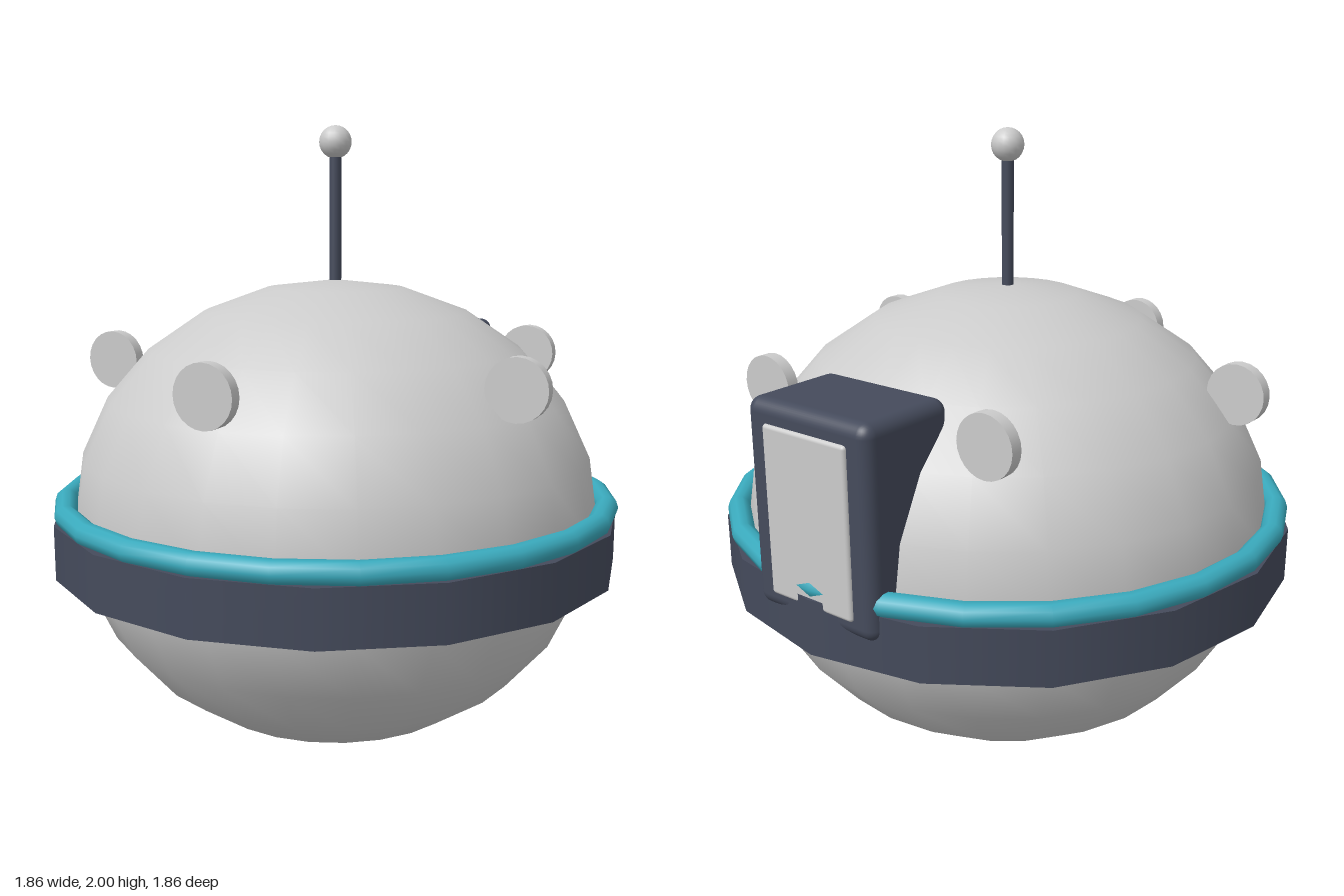
import * as THREE from 'three';
import { RoundedBoxGeometry } from 'three/addons/geometries/RoundedBoxGeometry.js';

const grey = new THREE.MeshStandardMaterial({ color: 0xcccccc });
const slate = new THREE.MeshStandardMaterial({ color: 0x454b5c });
const teal = new THREE.MeshStandardMaterial({ color: 0x3aaabd });

export function createModel() {
  const model = new THREE.Group();
  model.name = 'dronePod';

  const add = (name, geometry, material, x, y, z) => {
    const mesh = new THREE.Mesh(geometry, material);
    mesh.name = name;
    mesh.position.set(x, y, z);
    model.add(mesh);
    return mesh;
  };

  // Slightly flattened spherical hull
  const hull = new THREE.SphereGeometry(0.86, 24, 12).scale(1, 0.757 / 0.86, 1);
  add('hull', hull, grey, 0, 0.757, 0);

  // Equator band with a glowing ring resting on it
  add('equatorBand', new THREE.CylinderGeometry(0.93, 0.93, 0.175, 16), slate, 0, 0.678, 0);
  const ring = new THREE.TorusGeometry(0.89, 0.037, 10, 24).rotateX(Math.PI / 2);
  add('equatorRing', ring, teal, 0, 0.793, 0);

  // Antenna
  add('antennaRod', new THREE.CylinderGeometry(0.019, 0.019, 0.46, 12), slate, 0, 1.71, 0);
  add('antennaTip', new THREE.SphereGeometry(0.052, 16, 12), grey, 0, 1.948, 0);

  // Round sensor discs spaced around the upper hull, all facing front
  const disc = new THREE.CylinderGeometry(0.096, 0.096, 0.04, 24).rotateX(Math.PI / 2);
  const spots = [[-0.03, 0.757], [0.71, 0.265], [0.47, -0.595], [-0.42, -0.633], [-0.73, 0.2]];
  spots.forEach(([x, z], i) => add(`sensorDisc${i + 1}`, disc, grey, x, 1.235, z));

  // Rear pack and its cover plate
  add('rearPack', new RoundedBoxGeometry(0.47, 0.64, 0.34, 4, 0.04), slate, 0, 1.0, -0.74);
  add('rearPackCover', new RoundedBoxGeometry(0.32, 0.52, 0.03, 3, 0.012), grey, 0, 0.995, -0.905);

  return model;
}
